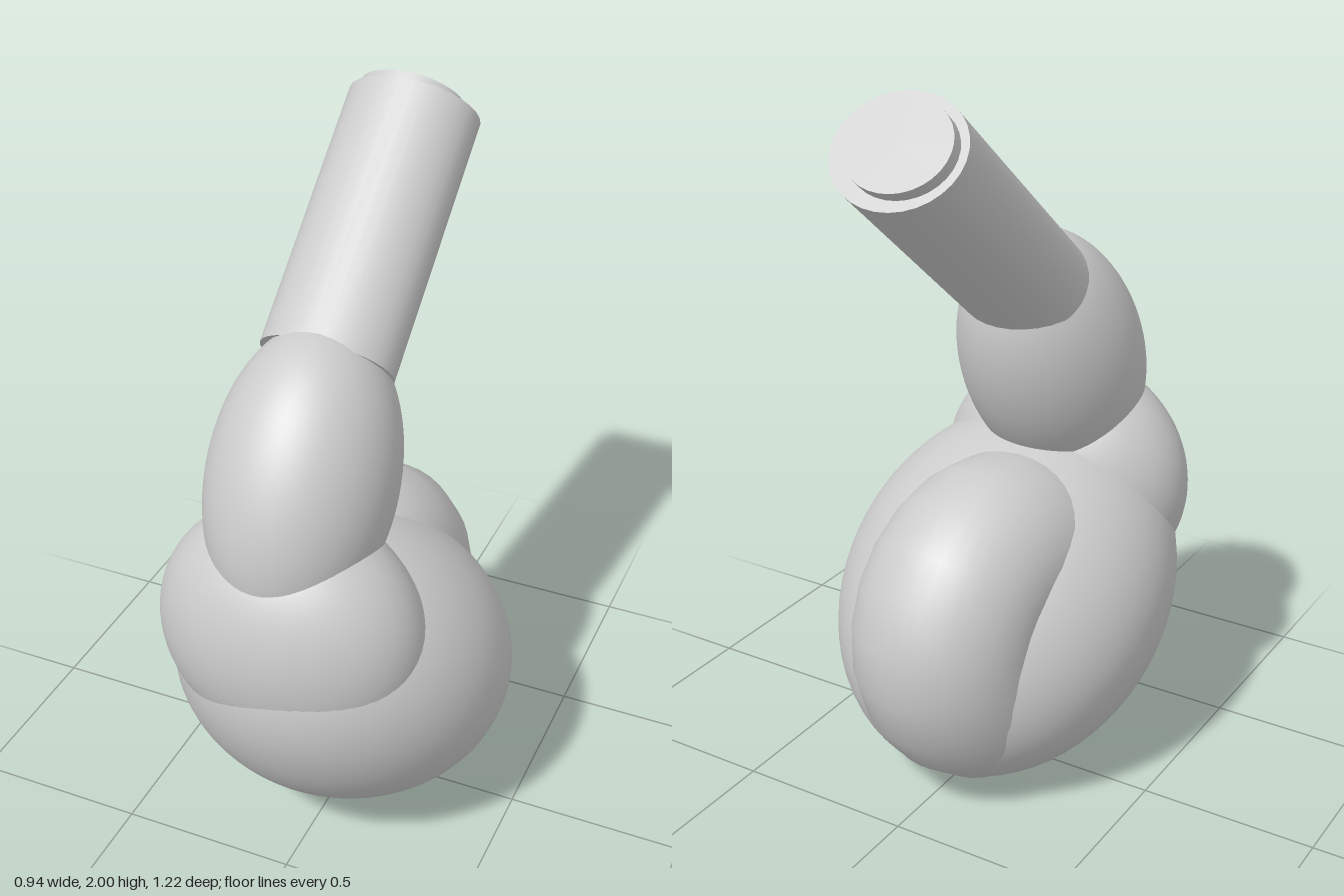
import * as THREE from 'three';

const grey = new THREE.MeshStandardMaterial({ color: 0xcccccc });

function add(parent, name, geometry, position, rotation = [0, 0, 0], scale = [1, 1, 1]) {
  const mesh = new THREE.Mesh(geometry, grey);
  mesh.name = name;
  mesh.position.set(...position);
  mesh.rotation.set(...rotation);
  mesh.scale.set(...scale);
  parent.add(mesh);
  return mesh;
}

export function createModel() {
  const group = new THREE.Group();
  group.name = 'bulbousFormWithTube';
  const ball = new THREE.SphereGeometry(1, 64, 48);

  // Three overlapping swellings, stacked and leaning: centre, tilt, radii
  add(group, 'mainBody', ball, [0, 0.48, 0.08], [-0.63, 0, 0], [0.47, 0.423, 0.571]);
  add(group, 'middleBulge', ball, [-0.0375, 0.75, 0.345], [0, 0, 0], [0.372, 0.36, 0.265]);
  add(group, 'upperBulge', ball, [-0.045, 1.15, 0.243], [-0.49, 0, 0], [0.25, 0.411, 0.27]);

  // Rounded rear lobe: a fat ring standing in the side plane, turned slightly
  const ring = new THREE.TorusGeometry(0.205, 0.26, 40, 20);
  ring.rotateZ(Math.PI / 20).rotateY(Math.PI / 2);
  add(group, 'rearLobe', ring, [-0.05, 0.475, -0.078], [0, -0.12, 0]);

  // Oval tube leaning back, with a smaller end plate
  const tube = new THREE.Group();
  tube.name = 'tube';
  tube.position.set(-0.05, 1.88, -0.5);
  tube.rotation.x = -0.88;
  group.add(tube);
  const oval = (radius, height) => new THREE.CylinderGeometry(radius, radius, height, 32).scale(1, 1, 0.838);
  add(tube, 'tubeBody', oval(0.185, 0.75), [0, -0.375, 0]);
  add(tube, 'tubeEndPlate', oval(0.147, 0.07), [-0.016, 0, 0]);

  return group;
}
